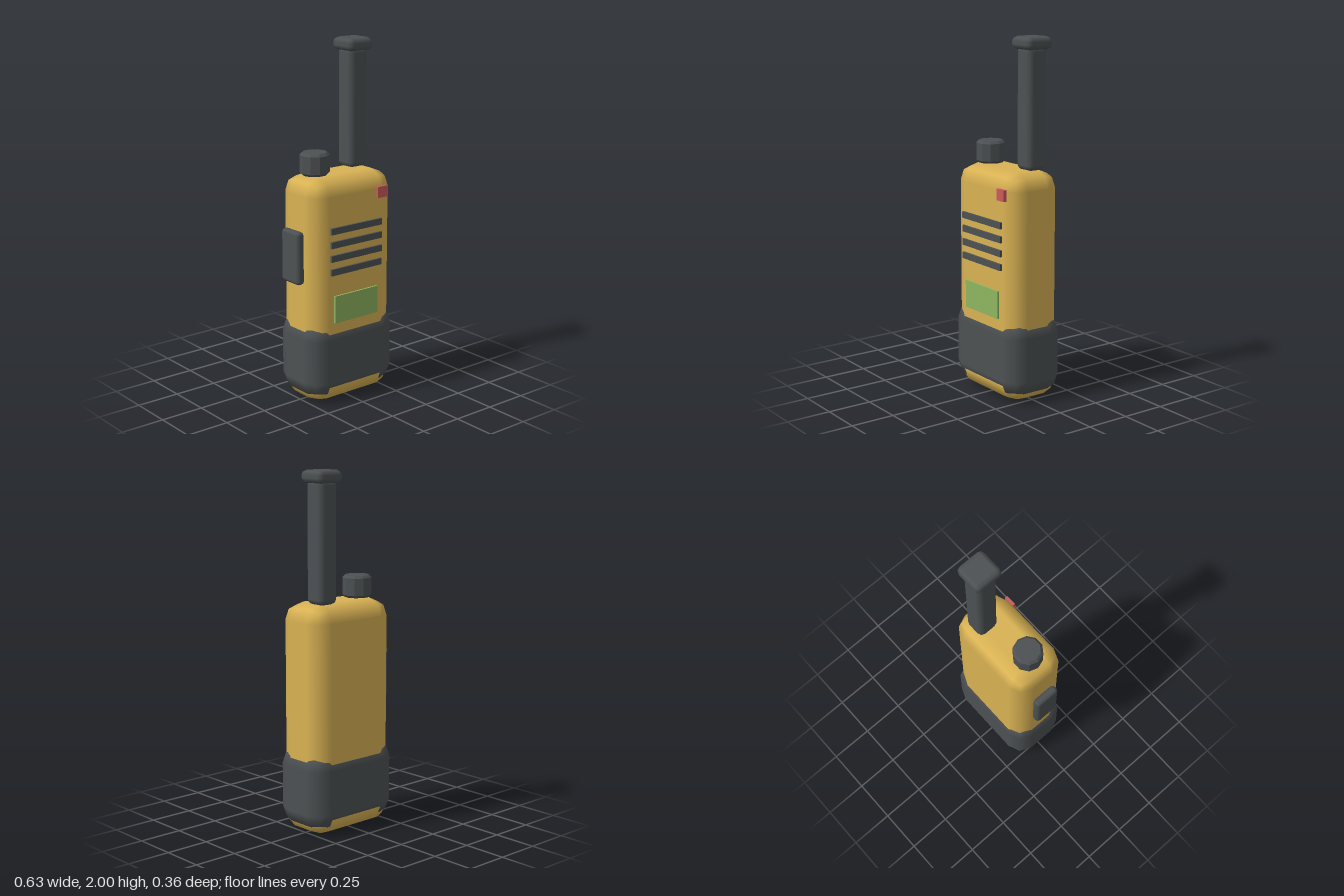
import * as THREE from 'three';
import { RoundedBoxGeometry } from 'three/addons/geometries/RoundedBoxGeometry.js';

function material(name, color) {
  const m = new THREE.MeshStandardMaterial({ color });
  m.name = name;
  return m;
}

export function createModel() {
  const model = new THREE.Group();
  model.name = 'handheldRadio';

  const yellow = material('yellow casing', 0xd9b253);
  const rubber = material('dark rubber', 0x4d5153);
  const green = material('green screen', 0x8db560);
  const red = material('red light', 0xcc5a5c);
  const knobRubber = rubber.clone();
  knobRubber.flatShading = true;

  const add = (name, geometry, mat, x, y, z) => {
    const mesh = new THREE.Mesh(geometry, mat);
    mesh.name = name;
    mesh.position.set(x, y, z);
    model.add(mesh);
    return mesh;
  };
  // Box with edges rounded in two steps
  const rounded = (w, h, d, r) => new RoundedBoxGeometry(w, h, d, 1, r);
  const box = (w, h, d) => new THREE.BoxGeometry(w, h, d);

  // Casing and the wider rubber grip around its lower end
  add('body', rounded(0.563, 1.286, 0.33, 0.098), yellow, 0.015, 0.643, 0);
  add('grip', rounded(0.6, 0.45, 0.356, 0.1), rubber, 0.015, 0.255, 0);

  // Square antenna with a wider cap
  add('antenna', rounded(0.125, 0.67, 0.125, 0.03), rubber, 0.168, 1.615, -0.051);
  add('antennaCap', rounded(0.167, 0.07, 0.167, 0.028), rubber, 0.168, 1.965, -0.051);

  // Ten-sided knob with chamfered rims
  const knobProfile = [[0, 0], [0.068, 0], [0.082, 0.014], [0.082, 0.111], [0.068, 0.125], [0, 0.125]]
    .map(([r, y]) => new THREE.Vector2(r, y));
  const knob = add('knob', new THREE.LatheGeometry(knobProfile, 10), knobRubber, -0.14, 1.285, 0);
  knob.rotation.y = Math.PI / 2;

  // Talk button on the right side
  add('talkButton', rounded(0.05, 0.3, 0.152, 0.02), rubber, -0.2925, 0.85, 0);

  // Speaker slots
  for (let i = 0; i < 4; i++) {
    add('speakerSlot', box(0.358, 0.036, 0.02), rubber, 0.014, 1.002 - i * 0.077, 0.168);
  }

  // Screen and signal light
  add('screen', box(0.304, 0.156, 0.02), green, 0.014, 0.554, 0.166);
  add('signalLight', box(0.063, 0.063, 0.018), red, 0.194, 1.17, 0.169);

  return model;
}
